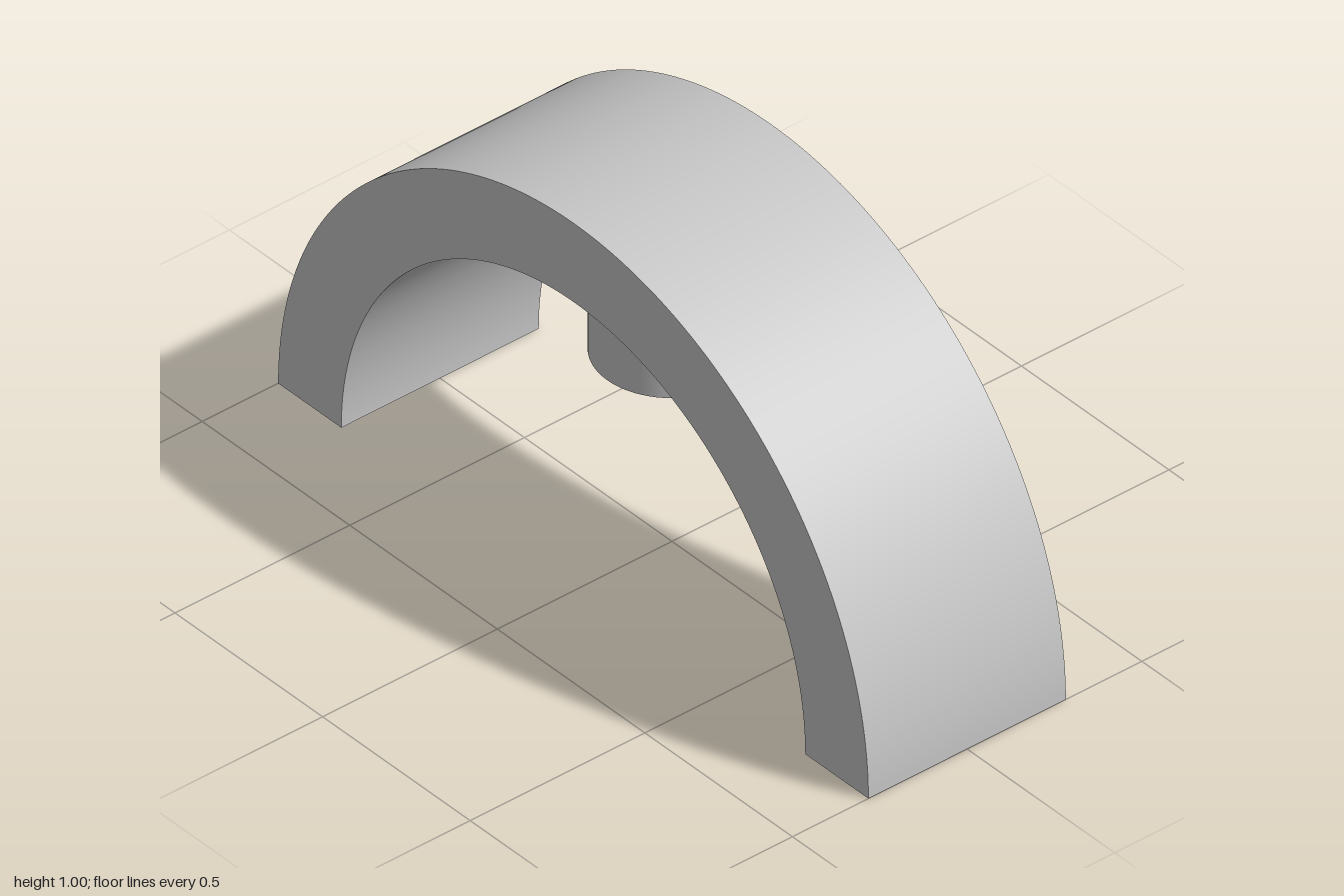
import * as THREE from 'three';
import { toCreasedNormals } from 'three/addons/utils/BufferGeometryUtils.js';

const OUTER = 1, INNER = 0.786, WIDTH = 0.565;
const PIN_RADIUS = 0.185, PIN_BOTTOM = 0.526, PIN_TOP = 0.82;

export function createModel() {
  const model = new THREE.Group();
  model.name = 'archWithPin';

  const grey = new THREE.MeshStandardMaterial({ color: 0xc8c8c8 });
  grey.name = 'grey';

  // Half ring, extruded across the width and turned to span front to back
  const profile = new THREE.Shape();
  profile.absarc(0, 0, OUTER, 0, Math.PI, false);
  profile.absarc(0, 0, INNER, Math.PI, 0, true);
  profile.closePath();
  const archGeometry = new THREE.ExtrudeGeometry(profile, {
    depth: WIDTH, bevelEnabled: false, curveSegments: 72,
  });
  archGeometry.translate(0, 0, -WIDTH / 2);
  archGeometry.rotateY(Math.PI / 2);
  const arch = new THREE.Mesh(toCreasedNormals(archGeometry, Math.PI / 6), grey);
  arch.name = 'arch';

  // Round pin hanging from the crown, its top sunk into the arch
  const pin = new THREE.Mesh(
    new THREE.CylinderGeometry(PIN_RADIUS, PIN_RADIUS, PIN_TOP - PIN_BOTTOM, 64), grey);
  pin.position.y = (PIN_TOP + PIN_BOTTOM) / 2;
  pin.name = 'pin';

  model.add(arch, pin);
  return model;
}
